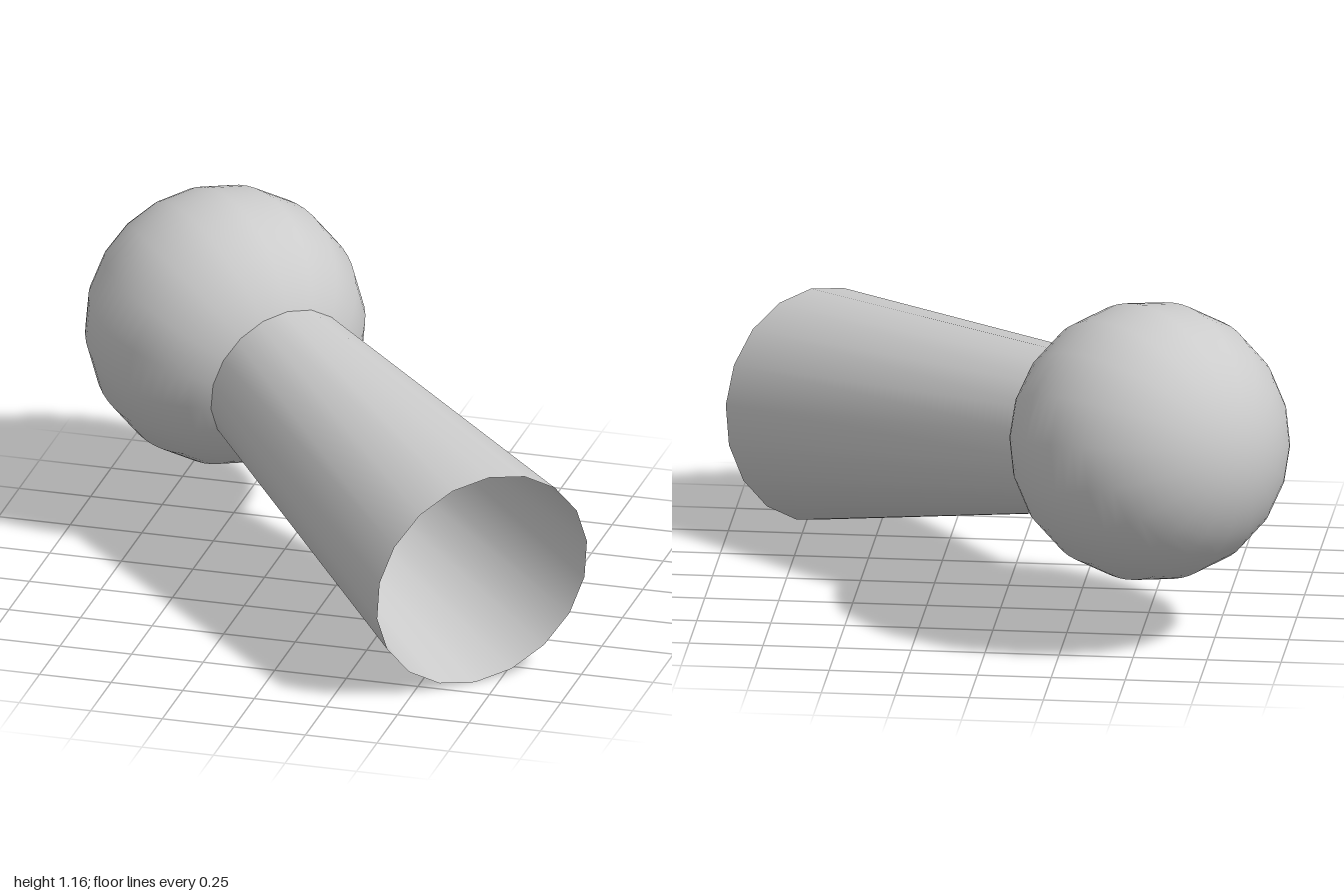
import * as THREE from 'three';

const SIDES = 18;

// Right-handed frame whose y column is the given axis, with z kept as upright as possible
function frameAlong(axis) {
  const y = axis.clone().normalize();
  const x = new THREE.Vector3().crossVectors(y, new THREE.Vector3(0, 1, 0)).normalize();
  const z = new THREE.Vector3().crossVectors(x, y);
  return { x, y, z };
}

export function createModel() {
  const model = new THREE.Group();
  const material = new THREE.MeshStandardMaterial({ color: 0xcccccc, side: THREE.DoubleSide });

  const ballCentre = new THREE.Vector3(-0.53, 0.687, -0.5);
  const mouthCentre = new THREE.Vector3(0.71, 0.396, 0.7);
  const axis = mouthCentre.clone().sub(ballCentre);

  // Ball, its poles in line with the tube
  const ballGeometry = new THREE.SphereGeometry(0.472, SIDES, 32).rotateY(Math.PI / 2);
  const ball = new THREE.Mesh(ballGeometry, material);
  ball.name = 'ball';
  const f = frameAlong(axis);
  ball.quaternion.setFromRotationMatrix(new THREE.Matrix4().makeBasis(f.x, f.y, f.z));
  ball.position.copy(ballCentre);
  model.add(ball);

  // Open flared tube, starting inside the ball; its mouth is cut slightly off square
  const start = ballCentre.clone().addScaledVector(axis, 0.12);
  const mouth = frameAlong(new THREE.Vector3(0.676, -0.13, 0.725));
  const skew = new THREE.Matrix4()
    .makeBasis(mouth.x, mouthCentre.clone().sub(start), mouth.z)
    .setPosition(start);
  const tubeGeometry = new THREE.CylinderGeometry(0.397, 0.257, 1, SIDES, 1, true)
    .translate(0, 0.5, 0)
    .applyMatrix4(skew);
  tubeGeometry.computeVertexNormals();
  // Rejoin the shading across the lengthwise seam
  const normals = tubeGeometry.attributes.normal;
  for (const row of [0, SIDES + 1]) {
    const n = new THREE.Vector3().fromBufferAttribute(normals, row)
      .add(new THREE.Vector3().fromBufferAttribute(normals, row + SIDES)).normalize();
    for (const i of [row, row + SIDES]) normals.setXYZ(i, n.x, n.y, n.z);
  }
  const tube = new THREE.Mesh(tubeGeometry, material);
  tube.name = 'tube';
  model.add(tube);

  return model;
}
